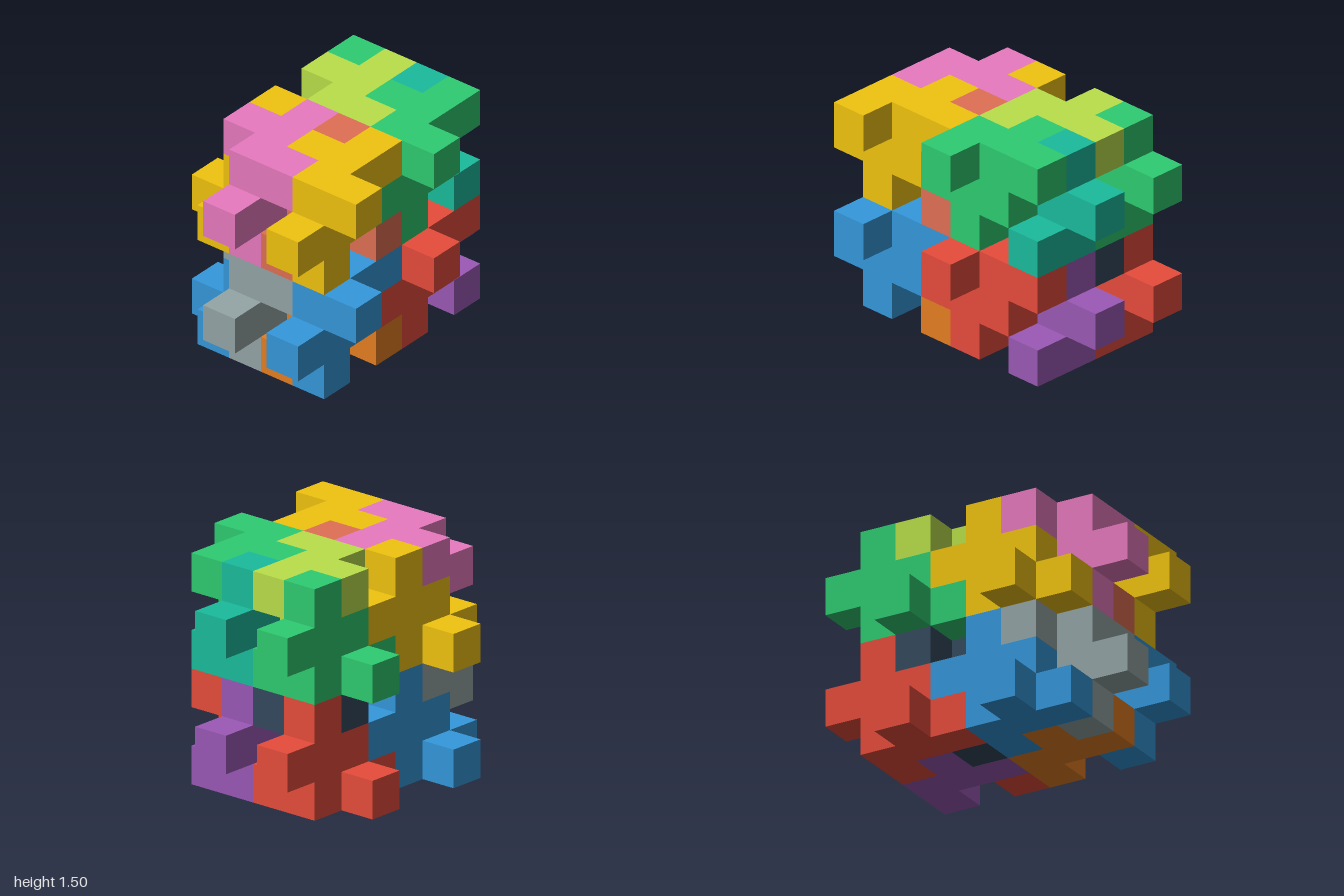
import * as THREE from 'three';
import { mergeGeometries } from 'three/addons/utils/BufferGeometryUtils.js';

const S = 0.25; // edge of one cube

// One interlocking block: layers from bottom to top, rows from back to front, columns along x.
// Letters are the three pieces: A outer, B upper, C lower.
const LAYERS = [
  ['......', '.AACC.', 'AACC..', '.ABCA.', '......'],
  ['.A.C..', '.A.C..', '.ABCA.', '..B.A.', '..B.A.'],
  ['......', '.ABCA.', '.BBAA.', '..BBAA', '......'],
];

// The four blocks, stacked two high and two deep
const BLOCKS = [
  { name: 'lowerBack', y: 0, z: 0, colors: { A: 0xe74c3c, B: 0x34495e, C: 0x9b59b6 } },
  { name: 'lowerFront', y: 0, z: 3, colors: { A: 0x3498db, B: 0x95a5a6, C: 0xe67e22 } },
  { name: 'upperBack', y: 3, z: 0, colors: { A: 0x2ecc71, B: 0xbae04a, C: 0x1abc9c } },
  { name: 'upperFront', y: 3, z: 3, colors: { A: 0xf1c40f, B: 0xe87abf, C: 0xe17055 } },
];
const PIECES = { A: 'OuterPiece', B: 'UpperPiece', C: 'LowerPiece' };

const SIDES = [[1, 0, 0], [-1, 0, 0], [0, 1, 0], [0, -1, 0], [0, 0, 1], [0, 0, -1]];

// A square on one side of the cube at cell (x, y, z)
function cubeSide([x, y, z], [dx, dy, dz]) {
  const g = new THREE.PlaneGeometry(S, S);
  g.translate(0, 0, S / 2);
  if (dy) g.rotateX(-dy * Math.PI / 2);
  else if (dx) g.rotateY(dx * Math.PI / 2);
  else if (dz < 0) g.rotateY(Math.PI);
  return g.translate((x - 2.5) * S, (y + 0.5) * S, (z - 3.5) * S);
}

export function createModel() {
  const model = new THREE.Group();
  model.name = 'interlockingBlocks';

  // Collect the cubes of every piece
  const filled = new Set();
  const pieces = [];
  for (const block of BLOCKS) {
    for (const letter of Object.keys(PIECES)) {
      const cells = [];
      LAYERS.forEach((rows, j) => rows.forEach((row, k) => [...row].forEach((c, i) => {
        if (c !== letter) return;
        const cell = [i, j + block.y, k + block.z];
        cells.push(cell);
        filled.add(cell.join());
      })));
      pieces.push({ name: block.name + PIECES[letter], color: block.colors[letter], cells });
    }
  }

  // Build each piece from the cube sides that are not covered by a neighbour
  for (const { name, color, cells } of pieces) {
    const faces = [];
    for (const cell of cells) {
      for (const side of SIDES) {
        const next = cell.map((v, n) => v + side[n]);
        if (!filled.has(next.join())) faces.push(cubeSide(cell, side));
      }
    }
    if (!faces.length) continue;
    const mesh = new THREE.Mesh(mergeGeometries(faces), new THREE.MeshStandardMaterial({ color }));
    mesh.name = name;
    model.add(mesh);
  }
  return model;
}
